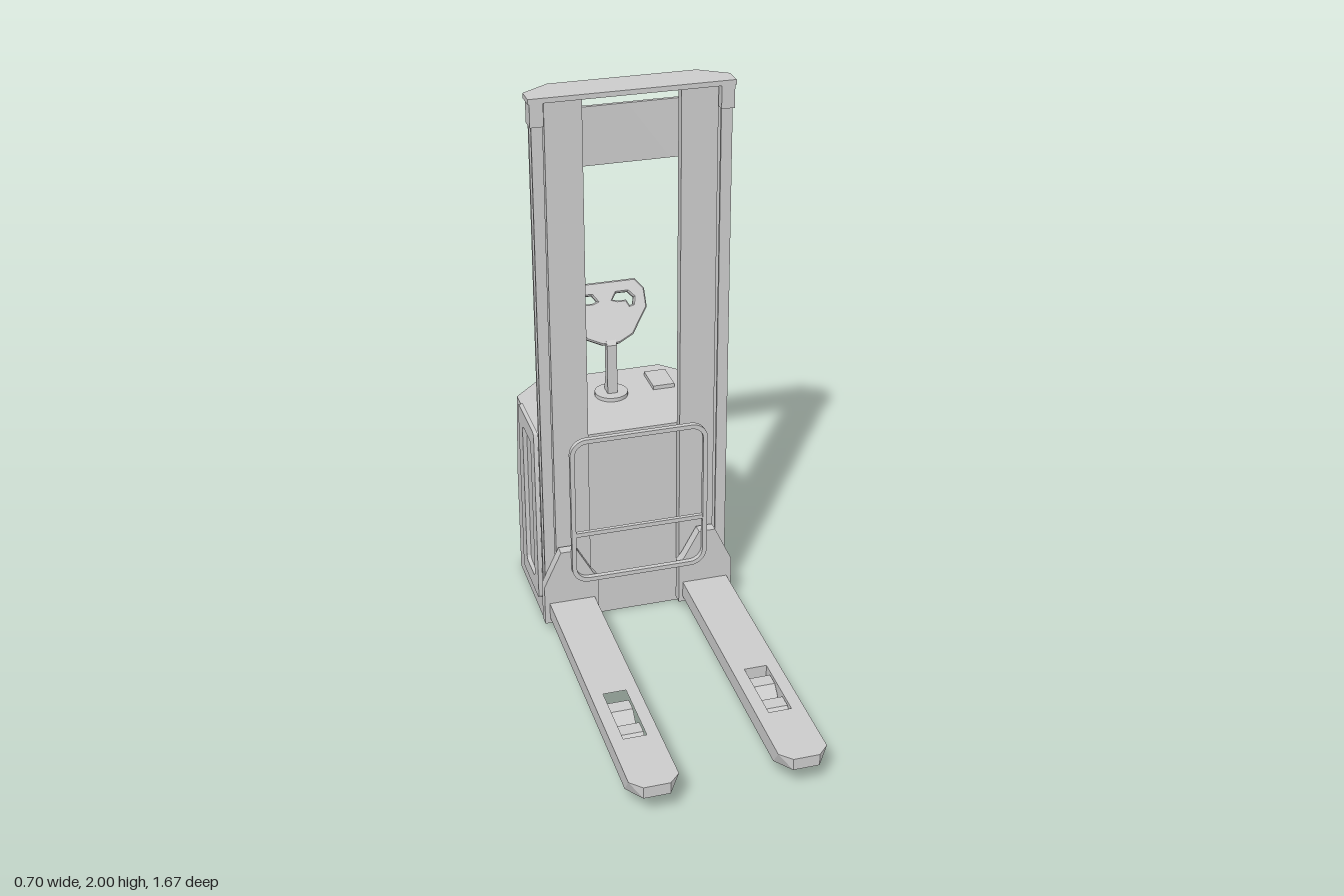
import * as THREE from 'three';
import { toCreasedNormals } from 'three/addons/utils/BufferGeometryUtils.js';
import { ConvexGeometry } from 'three/addons/geometries/ConvexGeometry.js';

const material = new THREE.MeshStandardMaterial({ color: 0xcccccc });
const shapeOf = (pts) => new THREE.Shape(pts.map(([x, y]) => new THREE.Vector2(x, y)));
const hull = (pts) => new ConvexGeometry(pts.map((p) => new THREE.Vector3(...p)));

function extrude(shape, depth, options = {}) {
  const geometry = new THREE.ExtrudeGeometry(shape, { depth, bevelEnabled: false, curveSegments: 8, ...options });
  return toCreasedNormals(geometry, 0.5);
}

// Extrudes a plan drawn as (x, z) upward from y0 to y1
function extrudePlan(shape, y0, y1) {
  return extrude(shape, y1 - y0).rotateX(Math.PI / 2).translate(0, y1, 0);
}

function roundedRect(x0, y0, x1, y1, r) {
  const s = new THREE.Shape();
  s.absarc(x1 - r, y0 + r, r, -Math.PI / 2, 0);
  s.absarc(x1 - r, y1 - r, r, 0, Math.PI / 2);
  s.absarc(x0 + r, y1 - r, r, Math.PI / 2, Math.PI);
  s.absarc(x0 + r, y0 + r, r, Math.PI, Math.PI * 1.5);
  s.closePath();
  return s;
}

export function createModel() {
  const model = new THREE.Group();
  const add = (name, geometry, parent = model) => {
    const mesh = new THREE.Mesh(geometry, material);
    mesh.name = name;
    parent.add(mesh);
    return mesh;
  };
  const box = (name, x0, x1, y0, y1, z0, z1) => add(name, new THREE.BoxGeometry(
    Math.abs(x1 - x0), y1 - y0, Math.abs(z1 - z0)).translate((x0 + x1) / 2, (y0 + y1) / 2, (z0 + z1) / 2));

  // Power unit: chamfered back corners, back leaning in towards the top
  const plan = (back, inset = 0) => [
    [-0.33 + inset, -0.32 - inset], [0.33 - inset, -0.32 - inset], [0.33 - inset, back + 0.1],
    [0.23 - inset * 0.5, back + inset], [-0.23 + inset * 0.5, back + inset], [-0.33 + inset, back + 0.1]];
  const level = (y, back) => plan(back).map(([x, z]) => [x, y, z]);
  add('body', hull([...level(0.03, -0.81), ...level(0.44, -0.81), ...level(0.745, -0.77)]));
  const skirt = shapeOf(plan(-0.81));
  skirt.holes.push(shapeOf(plan(-0.81, 0.025)));
  add('bodySkirt', extrudePlan(skirt, 0, 0.03));
  for (const x of [-0.21, 0.21]) for (const z of [-0.42, -0.69])
    add('floorBoss', new THREE.CylinderGeometry(0.032, 0.032, 0.025, 20).translate(x, 0.02, z));

  // Back cover: raised rim around a lower panel, following the lean of the back
  const coverOutline = (i) => [
    [-0.16 + i, 0.44], [-0.16 + i, 0.37 + i * 0.4], [-0.09 + i * 0.6, 0.255 + i], [0.09 - i * 0.6, 0.255 + i],
    [0.16 - i, 0.37 + i * 0.4], [0.16 - i, 0.44], [0.16 - i, 0.68 - i], [0.145 - i, 0.695 - i],
    [-0.145 + i, 0.695 - i], [-0.16 + i, 0.68 - i]];
  const backZ = (y) => -0.81 + Math.max(0, y - 0.44) * 0.131;
  const rimShape = shapeOf(coverOutline(0));
  rimShape.holes.push(shapeOf(coverOutline(0.014)));
  let rim = new THREE.ExtrudeGeometry(rimShape, { depth: 0.035, bevelEnabled: false });
  const pos = rim.attributes.position;
  for (let i = 0; i < pos.count; i++) pos.setZ(i, pos.getZ(i) - 0.025 + backZ(pos.getY(i)));
  rim.computeVertexNormals();
  add('backCoverRim', rim);
  add('backCover', hull(coverOutline(0.01).flatMap(([x, y]) => [[x, y, backZ(y) - 0.017], [x, y, backZ(y) + 0.01]])));

  // Side covers with a recessed rounded window
  const sideShape = roundedRect(-0.585, 0.085, -0.345, 0.765, 0.015);
  sideShape.holes.push(roundedRect(-0.525, 0.145, -0.4, 0.705, 0.02));
  for (const x of [0.345, -0.33])
    add('sideCover', extrude(sideShape, 0.015).rotateY(-Math.PI / 2).translate(x, 0, 0));

  // Pad on the top deck
  box('topPad', 0.155, 0.235, 0.74, 0.76, -0.7, -0.58);

  // Tiller: base disc, flared stem and tilted head with two grip openings
  add('tillerBase', new THREE.CylinderGeometry(0.06, 0.06, 0.015, 24).translate(0, 0.752, -0.59));
  const stem = shapeOf([[-0.57, 0.75], [-0.57, 0.95], [-0.585, 0.965], [-0.6, 0.95], [-0.602, 0.82], [-0.62, 0.75]]);
  add('tillerStem', extrude(stem, 0.036).rotateY(-Math.PI / 2).translate(0.018, 0, 0));
  const head = shapeOf([[-0.03, 0], [0.03, 0], [0.082, 0.025], [0.145, 0.115], [0.145, 0.18], [0.118, 0.215],
    [-0.118, 0.215], [-0.145, 0.18], [-0.145, 0.115], [-0.082, 0.025]]);
  for (const s of [-1, 1])
    head.holes.push(shapeOf([[0.022, 0.15], [0.042, 0.18], [0.09, 0.18], [0.112, 0.155], [0.105, 0.125],
      [0.085, 0.12], [0.075, 0.142], [0.045, 0.142]].map(([x, y]) => [x * s, y])));
  const tiller = add('tillerHead', extrude(head, 0.013,
    { bevelEnabled: true, bevelSize: 0.005, bevelOffset: 0, bevelThickness: 0.006, bevelSegments: 1 }));
  tiller.rotation.x = -0.56;
  tiller.position.set(0, 0.947, -0.596);

  // Mast uprights, brackets, carriage plates, forks and load rollers
  for (const s of [-1, 1]) {
    box('mastUpright', s * 0.165, s * 0.29, 0.08, 1.985, -0.32, -0.285);
    // Outer rail: I-section with open side channels
    const rail = shapeOf([[0.297, -0.275], [0.335, -0.275], [0.335, -0.285], [0.32, -0.285], [0.32, -0.308],
      [0.335, -0.308], [0.335, -0.32], [0.29, -0.32], [0.29, -0.308], [0.305, -0.308], [0.305, -0.285],
      [0.297, -0.285]].map(([x, z]) => [x * s, z]));
    add('mastRail', extrudePlan(rail, 0.08, 1.985));
    box('mastBracket', s * 0.295, s * 0.34, 1.905, 1.985, -0.325, -0.268);

    const carriage = shapeOf([[0.15, 0.048], [0.348, 0.048], [0.348, 0.2], [0.285, 0.335], [0.225, 0.335],
      [0.17, 0.235], [0.15, 0.21]].map(([x, y]) => [x * s, y]));
    add('carriagePlate', extrude(carriage, 0.038).translate(0, 0, -0.273));

    const forkPlan = shapeOf([[0.165, -0.25], [0.33, -0.25], [0.33, 0.755], [0.165, 0.755]].map(([x, z]) => [x * s, z]));
    forkPlan.holes.push(shapeOf([[0.208, 0.335], [0.287, 0.335], [0.287, 0.585], [0.208, 0.585]].map(([x, z]) => [x * s, z])));
    add('fork', extrudePlan(forkPlan, 0.07, 0.13));
    add('forkTip', hull([0, 1].flatMap((k) => {
      const wide = s * (k ? 0.33 : 0.165), narrow = s * (k ? 0.292 : 0.203);
      return [[wide, 0.07, 0.755], [wide, 0.13, 0.755], [wide, 0.13, 0.8], [narrow, 0.13, 0.838], [narrow, 0.088, 0.838]];
    })));
    for (const z of [0.402, 0.528]) {
      const roller = new THREE.CylinderGeometry(0.065, 0.065, 0.075, 8, 1, false, Math.PI / 8);
      add('loadRoller', toCreasedNormals(roller.rotateZ(Math.PI / 2), 0.1).translate(s * 0.2475, 0.06, z));
    }
  }

  // Mast cap with chamfered back corners
  add('mastCap', extrudePlan(shapeOf([[-0.345, -0.268], [0.345, -0.268], [0.345, -0.335], [0.25, -0.4],
    [-0.25, -0.4], [-0.345, -0.335]]), 1.983, 2));

  // Upper guard: band bent round the back of the mast
  const guard = new THREE.Shape();
  guard.moveTo(0.325, -0.318);
  guard.lineTo(0.325, -0.34);
  guard.absarc(0.225, -0.34, 0.1, 0, -Math.PI / 2, true);
  guard.absarc(-0.225, -0.34, 0.1, -Math.PI / 2, -Math.PI, true);
  guard.lineTo(-0.325, -0.318);
  guard.lineTo(-0.312, -0.318);
  guard.absarc(-0.225, -0.34, 0.087, -Math.PI, -Math.PI / 2, false);
  guard.absarc(0.225, -0.34, 0.087, -Math.PI / 2, 0, false);
  guard.lineTo(0.312, -0.318);
  add('upperGuard', extrudePlan(guard, 1.695, 1.9));

  // Load backrest: rounded frame and cross bar
  const frame = roundedRect(-0.248, 0.21, 0.248, 0.785, 0.06);
  frame.holes.push(roundedRect(-0.232, 0.226, 0.232, 0.769, 0.045));
  add('backrestFrame', extrude(frame, 0.018).translate(0, 0, -0.235));
  box('backrestBar', -0.235, 0.235, 0.398, 0.414, -0.233, -0.219);

  return model;
}
